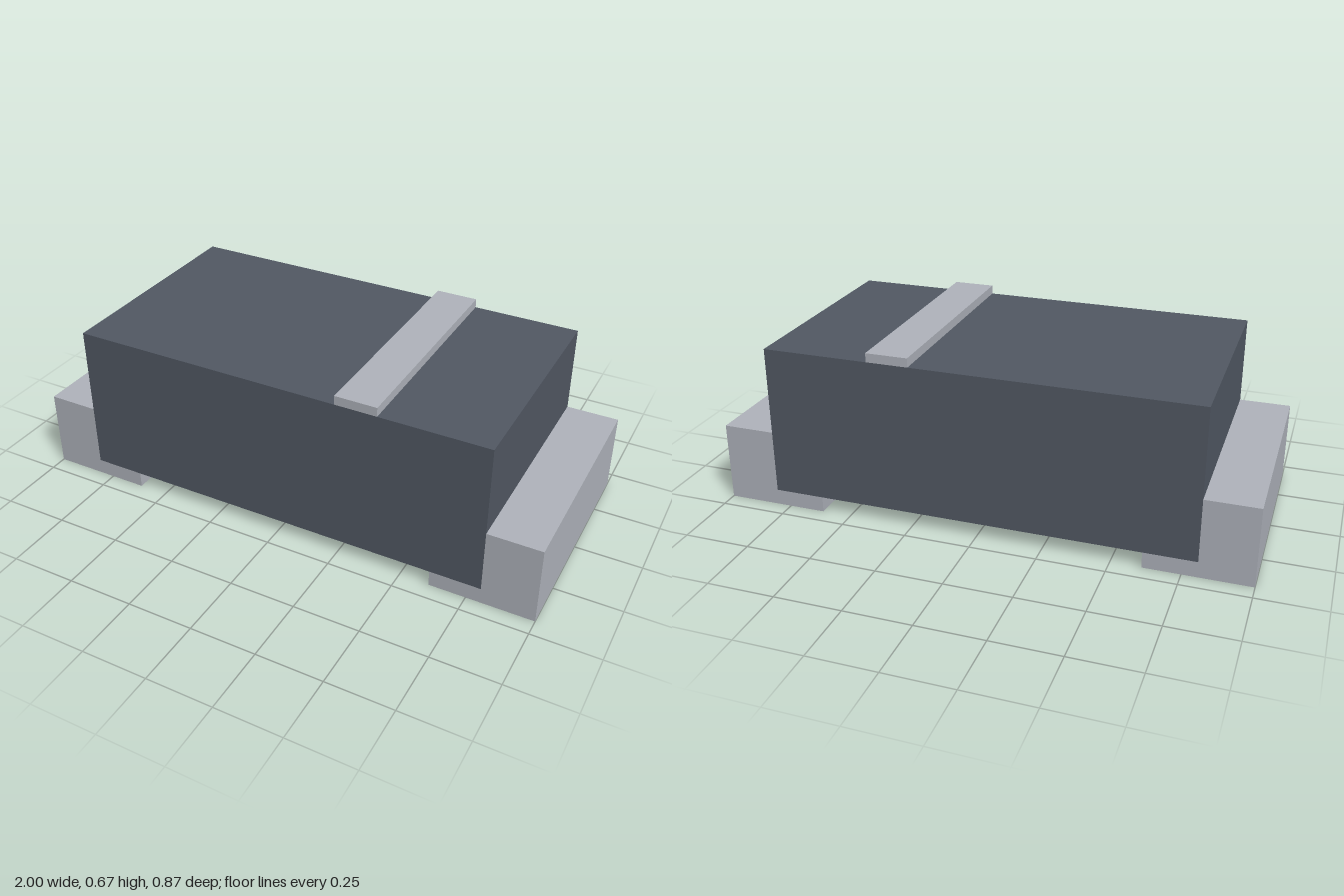
import * as THREE from 'three';

const DEPTH = 0.87;

export function createModel() {
  const model = new THREE.Group();
  const casing = new THREE.MeshStandardMaterial({ name: 'dark casing', color: 0x525964 });
  const metal = new THREE.MeshStandardMaterial({ name: 'light metal', color: 0xb0b4bc });

  // Box given by its x and y limits, spanning the full depth
  function addBox(name, x0, x1, y0, y1, material) {
    const mesh = new THREE.Mesh(new THREE.BoxGeometry(x1 - x0, y1 - y0, DEPTH), material);
    mesh.position.set((x0 + x1) / 2, (y0 + y1) / 2, 0);
    mesh.name = name;
    model.add(mesh);
  }

  addBox('body', -0.805, 0.802, 0.06, 0.633, casing);
  addBox('polarityBand', 0.24, 0.398, 0.633, 0.667, metal);

  // L-shaped terminals wrapping under each end of the body
  function addTerminal(name, side, bodyEnd) {
    const profile = [[1, 0], [1, 0.3], [bodyEnd, 0.3], [bodyEnd, 0.06], [0.612, 0.06], [0.612, 0]];
    const shape = new THREE.Shape(profile.map(([x, y]) => new THREE.Vector2(side * x, y)));
    const geometry = new THREE.ExtrudeGeometry(shape, { depth: DEPTH, bevelEnabled: false });
    geometry.translate(0, 0, -DEPTH / 2);
    const mesh = new THREE.Mesh(geometry, metal);
    mesh.name = name;
    model.add(mesh);
  }

  addTerminal('leftTerminal', 1, 0.802);
  addTerminal('rightTerminal', -1, 0.805);

  return model;
}
